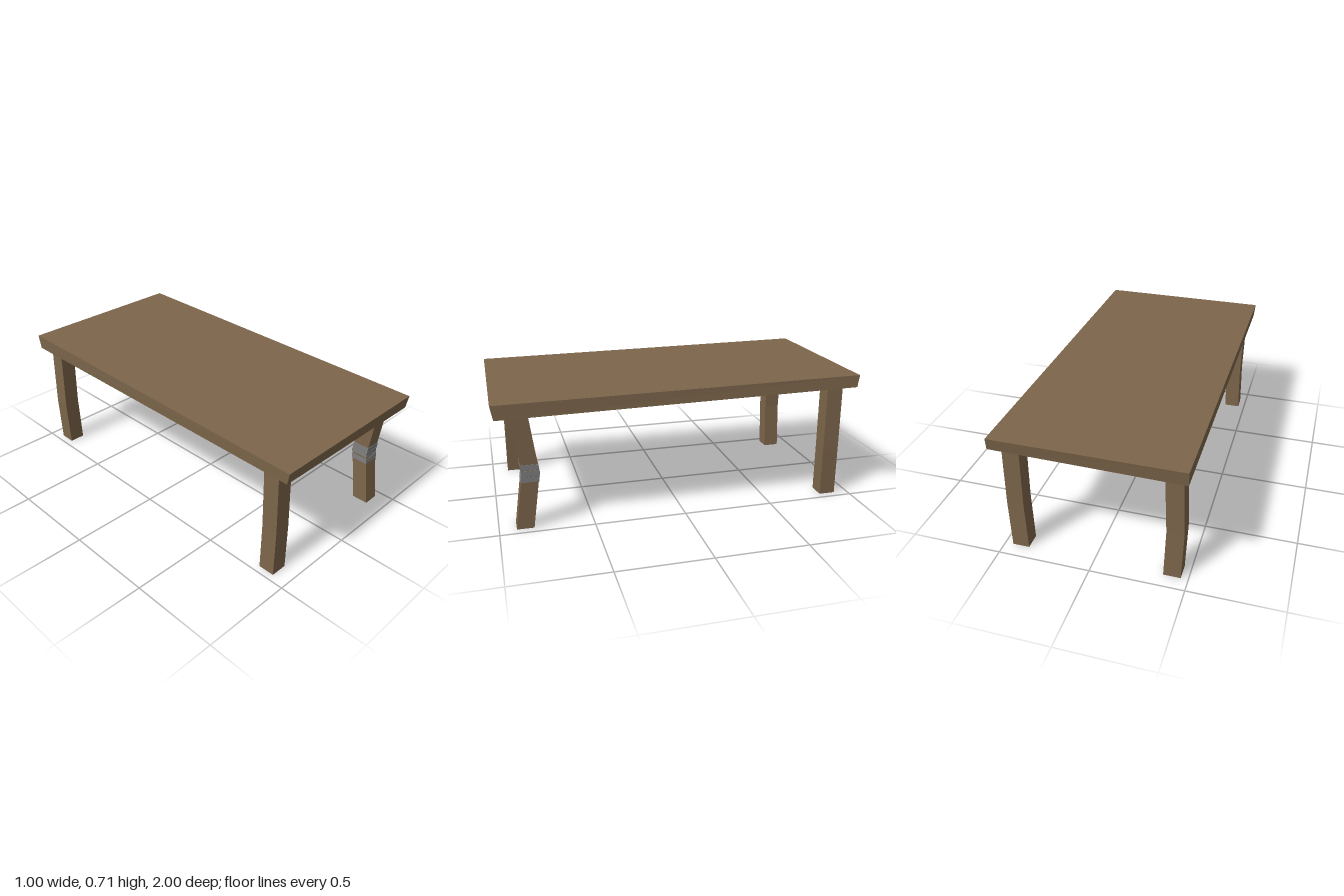
import * as THREE from 'three';

// Skin four-cornered rings, listed bottom to top, and cap both ends.
// Ring order: (-x,+z), (+x,+z), (+x,-z), (-x,-z).
function loft(rings) {
  const pos = [];
  const quad = (a, b, c, d) => pos.push(...a, ...b, ...c, ...a, ...c, ...d);
  for (let r = 0; r < rings.length - 1; r++) {
    const lo = rings[r], hi = rings[r + 1];
    for (let i = 0; i < 4; i++) {
      const j = (i + 1) % 4;
      quad(lo[i], lo[j], hi[j], hi[i]);
    }
  }
  const [a, b, c, d] = rings[0];
  quad(d, c, b, a);
  quad(...rings[rings.length - 1]);
  const geo = new THREE.BufferGeometry();
  geo.setAttribute('position', new THREE.Float32BufferAttribute(pos, 3));
  geo.computeVertexNormals();
  return geo;
}

// Square ring around (x, y, z); tilt raises its -x side.
function ring(x, y, z, half, tilt = 0) {
  return [[-1, 1], [1, 1], [1, -1], [-1, -1]].map(
    ([sx, sz]) => [x + sx * half, y - sx * tilt, z + sz * half]);
}

export function createModel() {
  const group = new THREE.Group();
  const wood = new THREE.MeshStandardMaterial({ color: 0x7d664b, flatShading: true });
  const tape = new THREE.MeshStandardMaterial({ color: 0x808080, flatShading: true });
  const add = (name, geo, mat) => {
    const mesh = new THREE.Mesh(geo, mat);
    mesh.name = name;
    group.add(mesh);
  };

  // Slightly warped slab with edges tapering inward underneath
  add('tabletop', loft([
    [[-0.495, 0.63, 0.985], [0.493, 0.62, 0.985], [0.497, 0.648, -0.987], [-0.496, 0.635, -0.987]],
    [[-0.5, 0.697, 1], [0.491, 0.697, 1], [0.493, 0.715, -1], [-0.499, 0.715, -1]],
  ]), wood);

  // Legs, each kinked at mid height: [name, x, z, kink dx, kink dz, kink y]
  const half = 0.0455, topY = 0.64;
  const legs = [
    ['frontLeftLeg', 0.41, 0.864, 0.001, -0.044, 0.31],
    ['frontRightLeg', -0.415, 0.864, 0.007, 0, 0.27],
    ['backLeftLeg', 0.41, -0.876, 0.008, 0.004, 0.28],
    ['backRightLeg', -0.415, -0.876, -0.011, 0.004, 0.28],
  ];
  for (const [name, x, z, dx, dz, ky] of legs) {
    add(name, loft([
      ring(x, 0, z, half),
      ring(x + dx, ky, z + dz, half),
      ring(x, topY, z, half),
    ]), wood);
  }

  // Tape bands wrapped around the broken front leg, following its bend
  const [, lx, lz, dx, dz, ky] = legs[0];
  const wrap = (y, tilt) => {
    const t = y < ky ? y / ky : (topY - y) / (topY - ky);
    return ring(lx + dx * t, y, lz + dz * t, half + 0.0025, tilt);
  };
  [[0.26, 0.289, -0.002], [0.296, 0.328, 0.002], [0.331, 0.36, 0.002]].forEach(([y0, y1, tilt], i) => {
    const ys = y0 < ky && y1 > ky ? [y0, ky, y1] : [y0, y1];
    add('tapeBand' + (i + 1), loft(ys.map((y) => wrap(y, tilt))), tape);
  });

  return group;
}
